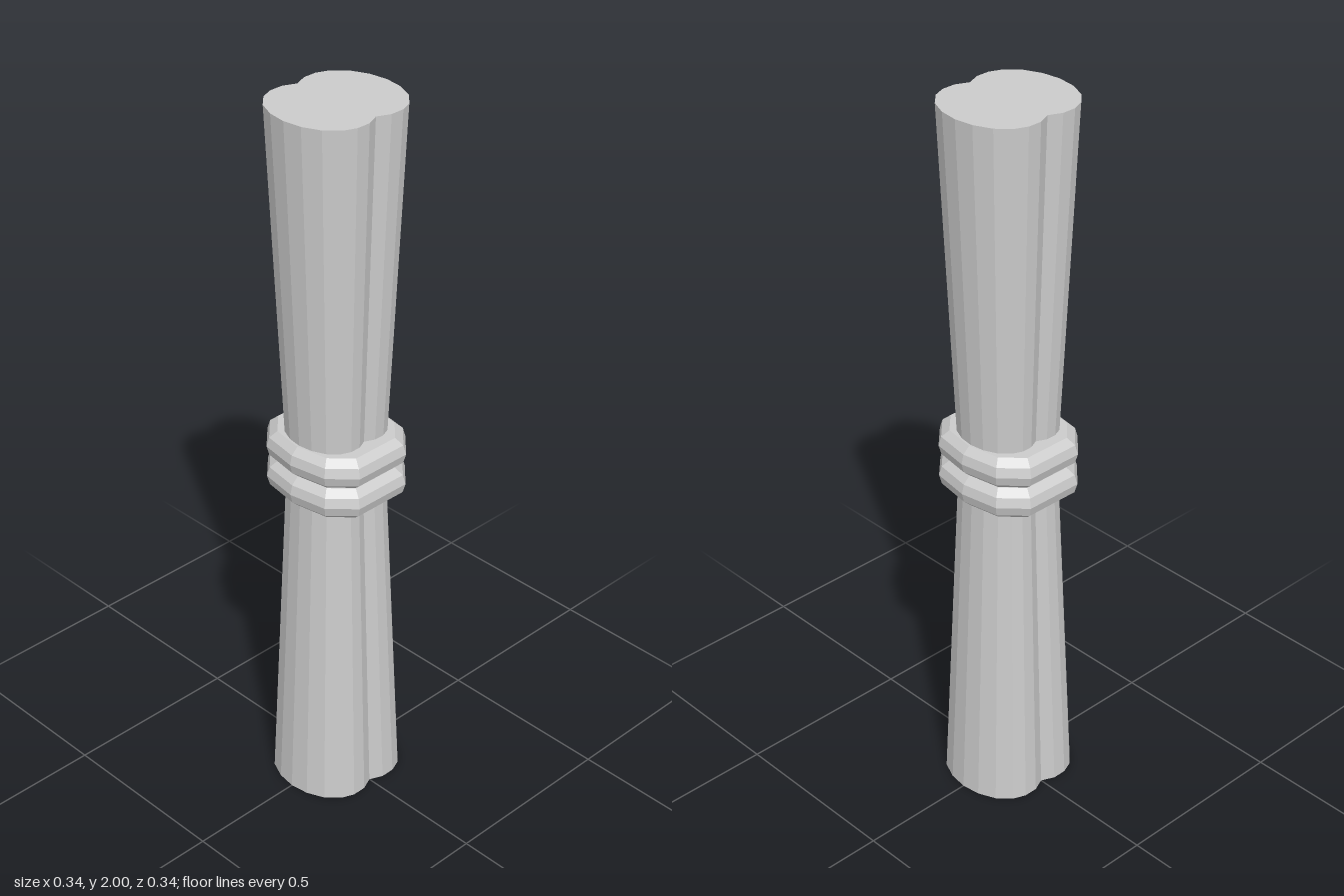
import * as THREE from 'three';

// Mirror a quarter outline (from +z round to +x) into a full closed outline.
function mirrorOutline(quarter) {
  const half = quarter.concat(quarter.slice().reverse().filter(p => p[1] > 0).map(([x, z]) => [x, -z]));
  const other = half.slice().reverse().filter(p => p[0] > 0).map(([x, z]) => [-x, z]);
  return half.concat(other).map(([x, z]) => new THREE.Vector2(x, z));
}

// Solid with the given outline, scaled at each [height, scale] level.
function column(outline, levels) {
  const n = levels.length - 1;
  const geo = new THREE.ExtrudeGeometry(new THREE.Shape(outline), { depth: n, steps: n, bevelEnabled: false });
  geo.rotateX(-Math.PI / 2);
  const pos = geo.attributes.position;
  for (let i = 0; i < pos.count; i++) {
    const [y, s] = levels[Math.round(pos.getY(i))];
    pos.setXYZ(i, pos.getX(i) * s, y, pos.getZ(i) * s);
  }
  geo.computeVertexNormals();
  return geo;
}

export function createModel() {
  const group = new THREE.Group();
  const grey = new THREE.MeshStandardMaterial({ color: 0xcccccc, flatShading: true });
  grey.name = 'light grey';
  const add = (name, geo) => {
    const mesh = new THREE.Mesh(geo, grey);
    mesh.name = name;
    group.add(mesh);
  };

  // Two-lobed bundle, pinched at the middle, with a groove down each side
  const bundle = mirrorOutline([
    [0, 0.171], [0.052, 0.164], [0.1, 0.143], [0.134, 0.109],
    [0.148, 0.075], [0.148, 0.036], [0.132, 0],
  ]);
  add('bundle', column(bundle, [[0, 1], [0.92, 0.76], [1, 0.74], [1.08, 0.76], [2, 1]]));

  // Ten-sided bands tied round the waist
  const band = mirrorOutline([[0, 0.163], [0.107, 0.145], [0.17, 0.083]]);
  const section = [[-0.044, 0.84], [-0.026, 0.96], [0, 1], [0.026, 0.96], [0.044, 0.84]];
  [['lowerBand', 0.96], ['upperBand', 1.05]].forEach(([name, y]) =>
    add(name, column(band, section.map(([dy, s]) => [y + dy, s]))));

  return group;
}
